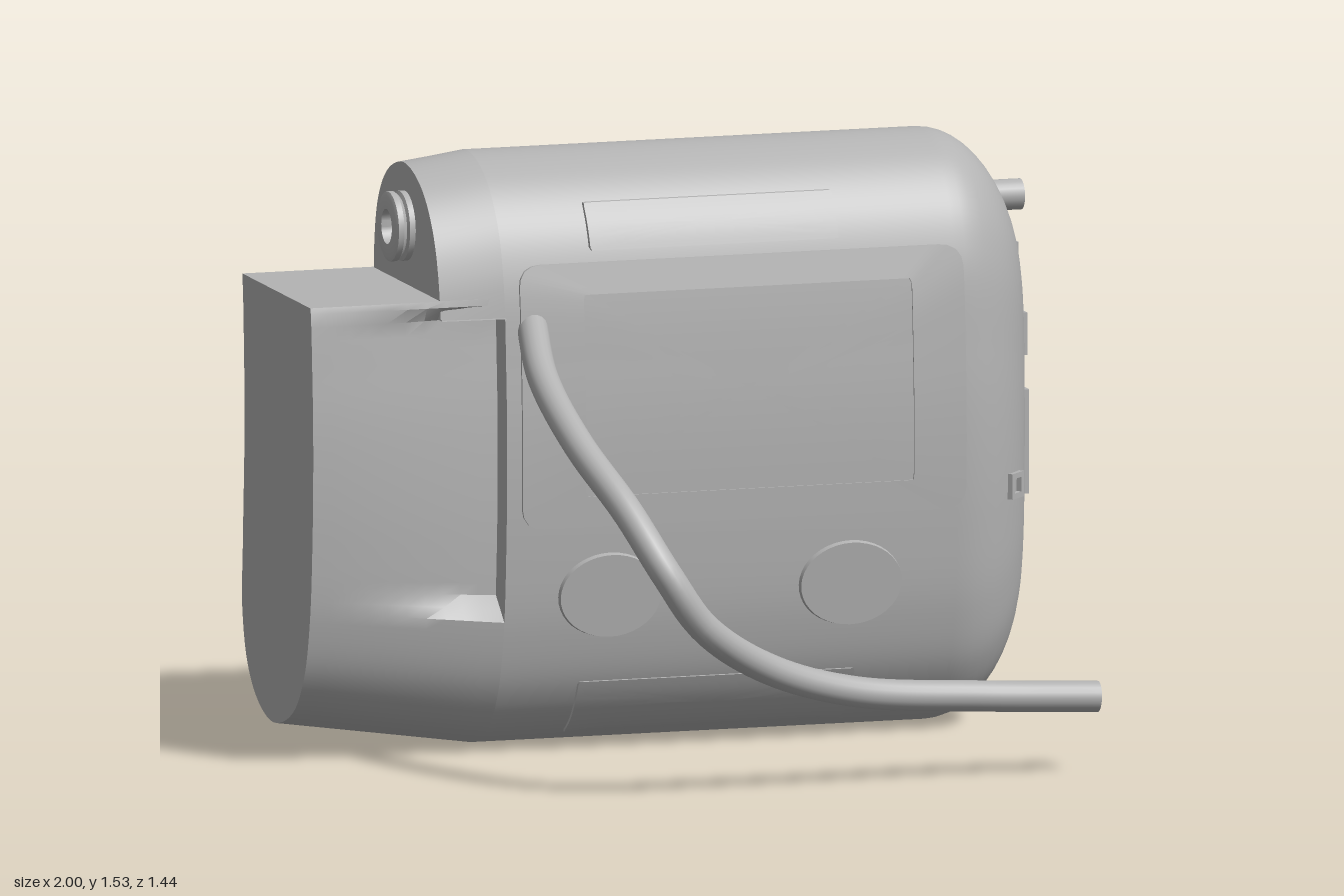
import * as THREE from 'three';
import { toCreasedNormals } from 'three/addons/utils/BufferGeometryUtils.js';

const V = (x, y, z) => new THREE.Vector3(x, y, z);

// Side outline of the case as [z, y], running top, front, bottom, back
const outline = [
  [-0.45, 1.535], [-0.3, 1.49], [-0.2, 1.39], [-0.145, 1.25], [-0.12, 1.0], [-0.113, 0.8], [-0.12, 0.55],
  [-0.142, 0.33], [-0.19, 0.17], [-0.28, 0.06], [-0.45, 0.003], [-0.58, 0.04], [-0.67, 0.13], [-0.715, 0.28],
  [-0.71, 0.45], [-0.695, 0.8], [-0.705, 1.1], [-0.713, 1.25], [-0.68, 1.4], [-0.6, 1.49],
];
const section = new THREE.CatmullRomCurve3(outline.map(([z, y]) => V(0, y, z)), true).getPoints(140).slice(0, -1);
const ZC = -0.43, YC = 0.77;

// Depth of the front surface at a height
function frontZ(y) {
  for (let i = 0; i < section.length - 1; i++) {
    const a = section[i], b = section[i + 1];
    if (a.y >= y && b.y <= y && a.z > -0.45) return a.z + (b.z - a.z) * (a.y - y) / (a.y - b.y || 1);
  }
  return -0.45;
}

// Skin over a row of closed rings, with optional end caps
function loft(rings, capStart, capEnd) {
  const n = rings[0].length, pos = rings.flat().flatMap((p) => [p.x, p.y, p.z]), idx = [];
  for (let k = 0; k < rings.length - 1; k++) {
    for (let i = 0; i < n; i++) {
      const a = k * n + i, b = k * n + (i + 1) % n;
      idx.push(a, b, a + n, b, b + n, a + n);
    }
  }
  const cap = (k, flip) => {
    const c = rings[k].reduce((s, p) => s.add(p), V(0, 0, 0)).divideScalar(n);
    const m = pos.length / 3;
    pos.push(c.x, c.y, c.z);
    for (let i = 0; i < n; i++) {
      const a = k * n + i, b = k * n + (i + 1) % n;
      idx.push(m, flip ? b : a, flip ? a : b);
    }
  };
  if (capStart) cap(0, true);
  if (capEnd) cap(rings.length - 1, false);
  const g = new THREE.BufferGeometry();
  g.setAttribute('position', new THREE.Float32BufferAttribute(pos, 3));
  g.setIndex(idx);
  return toCreasedNormals(g, 0.6);
}

// Rounded rectangle laid on the curved front, raised by h
function drapedRing([x0, x1, y0, y1], r, h, scale = 1) {
  const s = new THREE.Shape();
  s.moveTo(x0 + r, y0).lineTo(x1 - r, y0).quadraticCurveTo(x1, y0, x1, y0 + r)
    .lineTo(x1, y1 - r).quadraticCurveTo(x1, y1, x1 - r, y1)
    .lineTo(x0 + r, y1).quadraticCurveTo(x0, y1, x0, y1 - r)
    .lineTo(x0, y0 + r).quadraticCurveTo(x0, y0, x0 + r, y0);
  const cx = (x0 + x1) / 2, cy = (y0 + y1) / 2;
  return s.getSpacedPoints(160).slice(0, -1).map((p) => {
    const y = cy + (p.y - cy) * scale;
    return V(cx + (p.x - cx) * scale, y, frontZ(y) + h);
  });
}
const panel = (rect, r, h) => loft(
  [drapedRing(rect, r, -0.02), ...[1, 0.75, 0.5, 0.25].map((s) => drapedRing(rect, r, h, s))], false, true);

export function createModel() {
  const model = new THREE.Group();
  const grey = new THREE.MeshStandardMaterial({ color: 0xb3b3b3 });
  grey.name = 'grey';
  const add = (name, geo, x = 0, y = 0, z = 0) => {
    const m = new THREE.Mesh(geo, grey);
    m.name = name;
    m.position.set(x, y, z);
    model.add(m);
    return m;
  };
  const box = (name, w, h, d, x, y, z) => add(name, new THREE.BoxGeometry(w, h, d), x, y, z);

  // Main case with a rounded right end
  const bodyRings = [section.map((p) => V(-0.48, p.y, p.z))];
  for (let i = 0; i <= 14; i++) {
    const a = i / 14 * Math.PI / 2, c = Math.cos(a);
    bodyRings.push(section.map((p) =>
      V(0.73 + 0.26 * Math.sin(a), YC + (p.y - YC) * (1 - 0.58 * (1 - c)), ZC + (p.z - ZC) * c)));
  }
  add('case', loft(bodyRings, true, false));

  // Grip block with a hollow sweeping in towards the case
  const gripRings = [];
  for (let i = 0; i <= 10; i++) {
    const t = 1 - i / 10;
    gripRings.push(section.map((p) => {
      const hollow = 0.08 * (1 - t) ** 2
        * THREE.MathUtils.smoothstep(p.y, 0.36, 0.42) * (1 - THREE.MathUtils.smoothstep(p.y, 1.14, 1.19));
      const y = 1.2 - (1.2 - Math.min(p.y, 1.2)) * (1 - 0.063 * t);
      return V(-0.48 - 0.52 * t, y, p.z - Math.sign(p.z - ZC) * hollow);
    }));
  }
  add('grip', loft(gripRings, true, false));

  // Shoulder above the grip
  add('shoulder', loft([[-0.65, 0.97], [-0.56, 0.985], [-0.48, 1]].map(([x, s]) =>
    section.map((p) => V(x, Math.max(1.15, YC + (p.y - YC) * s), ZC + (p.z - ZC) * s))), true, false));

  // Hollow socket on the shoulder
  const socketProfile = [[0.09, -0.01], [0.09, 0.015], [0.08, 0.02], [0.09, 0.03], [0.09, 0.045],
    [0.08, 0.05], [0.045, 0.05], [0.045, 0.005], [0, 0.005]].map(([r, h]) => new THREE.Vector2(r, h));
  add('socket', toCreasedNormals(new THREE.LatheGeometry(socketProfile, 32), 0.5), -0.65, 1.35, -0.44)
    .rotation.z = Math.PI / 2;

  // Screen and its frame
  const outer = [-0.44, 0.75, 0.6, 1.28], inner = [-0.27, 0.61, 0.68, 1.2];
  add('screenFrame', loft([drapedRing(outer, 0.06, -0.02), drapedRing(outer, 0.06, 0.008),
    drapedRing(inner, 0.006, 0.008), drapedRing(inner, 0.006, -0.02)]));
  add('screen', panel(inner, 0.006, 0.003));

  // Strips above and below
  add('topStrip', panel([-0.245, 0.42, 1.31, 1.425], 0.004, 0.015));
  add('bottomStrip', panel([-0.27, 0.47, 0.04, 0.19], 0.004, 0.012));

  // Two oval buttons
  for (const x of [-0.2, 0.445]) {
    const b = add('button', new THREE.CylinderGeometry(0.135, 0.142, 0.03, 40), x, 0.42, -0.132);
    b.scale.z = 0.8;
    b.rotation.x = Math.PI / 2 + 0.1;
  }

  // Side knob
  add('knob', new THREE.CylinderGeometry(0.04, 0.04, 0.1, 24), 0.95, 1.35, -0.44).rotation.z = Math.PI / 2;

  // Side switches
  box('upperSwitch', 0.04, 0.07, 0.035, 0.958, 1.2, -0.403);
  box('middleSwitch', 0.04, 0.04, 0.12, 0.964, 1.1, -0.49);
  box('middleSwitchTab', 0.04, 0.07, 0.06, 0.965, 1.09, -0.52);
  box('lowerSwitch', 0.04, 0.11, 0.075, 0.965, 1.005, -0.372);

  // Side connector: a frame around a ridged strip
  for (const s of [-1, 1]) {
    box('connectorSide', 0.04, 0.27, 0.012, 0.971, 0.725, -0.37 + s * 0.027);
    box('connectorEnd', 0.04, 0.03, 0.06, 0.971, 0.725 + s * 0.12, -0.37);
  }
  for (let i = 0; i < 9; i++) box('connectorPin', 0.03, 0.012, 0.022, 0.973, 0.645 + i * 0.02, -0.37);

  // Small square port on the rounded corner
  const port = new THREE.Group();
  port.name = 'cornerPort';
  port.position.set(0.905, 0.638, -0.202);
  port.rotation.y = 0.8;
  for (const s of [-1, 1]) {
    const side = new THREE.Mesh(new THREE.BoxGeometry(0.014, 0.066, 0.03), grey);
    side.position.x = s * 0.026;
    const end = new THREE.Mesh(new THREE.BoxGeometry(0.066, 0.014, 0.03), grey);
    end.position.y = s * 0.026;
    side.name = end.name = 'portEdge';
    port.add(side, end);
  }
  model.add(port);

  // Cable leaving the front and curving round to the right
  const path = new THREE.CatmullRomCurve3([
    V(-0.4, 1.13, -0.16), V(-0.44, 1.02, 0.07), V(-0.43, 0.89, 0.34), V(-0.37, 0.75, 0.56), V(-0.3, 0.6, 0.675),
    V(-0.2, 0.46, 0.67), V(0, 0.33, 0.59), V(0.25, 0.25, 0.53), V(0.6, 0.215, 0.49), V(0.91, 0.2, 0.5)]);
  add('cable', new THREE.TubeGeometry(path, 80, 0.04, 18));
  const tip = add('cableEnd', new THREE.CircleGeometry(0.04, 18), 0.91, 0.2, 0.5);
  tip.quaternion.setFromUnitVectors(V(0, 0, 1), path.getTangent(1));

  return model;
}
